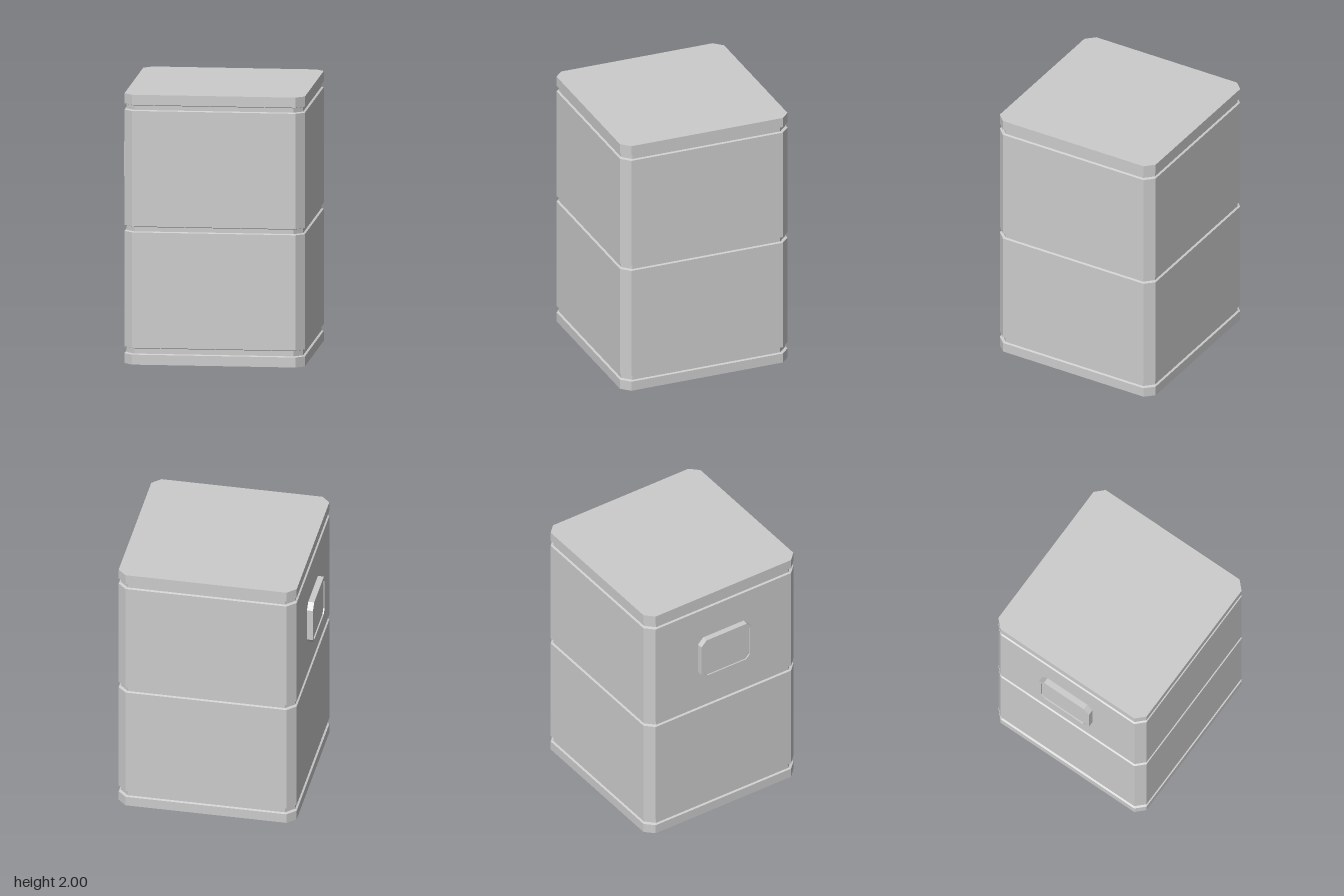
import * as THREE from 'three';

const HALF = 0.665, CHAMFER = 0.064, GROOVE = 0.015, SLOPE = 0.006;
const material = new THREE.MeshStandardMaterial({ color: 0xcccccc, flatShading: true });

// Rectangle with cut corners, counter-clockwise.
function cutCorners(w, h, c) {
  return [[w, -h + c], [w, h - c], [w - c, h], [-w + c, h],
    [-w, h - c], [-w, -h + c], [-w + c, -h], [w - c, -h]];
}

// Closed stack of eight-sided sections; profile holds [height, inset] pairs.
function loft(profile) {
  const pos = [];
  const rings = profile.map(([y, inset]) =>
    cutCorners(HALF - inset, HALF - inset, CHAMFER).map(([x, z]) => [x, y, -z]));
  const tri = (a, b, c) => pos.push(...a, ...b, ...c);
  for (let r = 0; r < rings.length - 1; r++) {
    for (let i = 0; i < 8; i++) {
      const j = (i + 1) % 8, lo = rings[r], hi = rings[r + 1];
      tri(lo[i], lo[j], hi[j]);
      tri(lo[i], hi[j], hi[i]);
    }
  }
  const bottom = rings[0], top = rings[rings.length - 1];
  for (let i = 1; i < 7; i++) {
    tri(top[0], top[i], top[i + 1]);
    tri(bottom[0], bottom[i + 1], bottom[i]);
  }
  const geometry = new THREE.BufferGeometry();
  geometry.setAttribute('position', new THREE.Float32BufferAttribute(pos, 3));
  geometry.computeVertexNormals();
  return geometry;
}

function add(parent, name, geometry) {
  const mesh = new THREE.Mesh(geometry, material);
  mesh.name = name;
  parent.add(mesh);
  return mesh;
}

export function createModel() {
  const model = new THREE.Group();
  model.name = 'crate';

  const body = new THREE.Group();
  body.name = 'body';
  body.position.x = 0.02;
  model.add(body);

  // Base, two main blocks and lid, sloping into the grooves between them
  add(body, 'base', loft([[0, 0], [0.08 - SLOPE, 0], [0.08, GROOVE]]));
  for (const [name, y0, y1] of [['lowerBlock', 0.125, 0.98], ['upperBlock', 1.025, 1.88]]) {
    add(body, name, loft([[y0 - SLOPE, GROOVE], [y0, 0], [y1, 0], [y1 + SLOPE, GROOVE]]));
  }
  add(body, 'lid', loft([[1.925 - SLOPE, GROOVE], [1.925, 0], [2, 0]]));

  // Recessed bands
  for (const y of [0.08, 0.98, 1.88]) {
    add(body, 'grooveBand', loft([[y - 0.01, GROOVE], [y + 0.05, GROOVE]]));
  }

  // Side plate: raised rim around a slightly sunken panel
  const plate = new THREE.Group();
  plate.name = 'sidePlate';
  plate.position.set(-0.645, 1.4525, 0);
  plate.rotation.y = -Math.PI / 2;
  model.add(plate);
  const outline = (inset) => cutCorners(0.225 - inset, 0.1725 - inset, 0.046 - inset * 0.6)
    .map(([x, y]) => new THREE.Vector2(x, y));
  const rim = new THREE.Shape(outline(0));
  rim.holes.push(new THREE.Path(outline(0.02)));
  add(plate, 'plateRim', new THREE.ExtrudeGeometry(rim, { depth: 0.045, bevelEnabled: false }));
  add(plate, 'platePanel', new THREE.ExtrudeGeometry(new THREE.Shape(outline(0.02)),
    { depth: 0.035, bevelEnabled: false }));

  return model;
}
